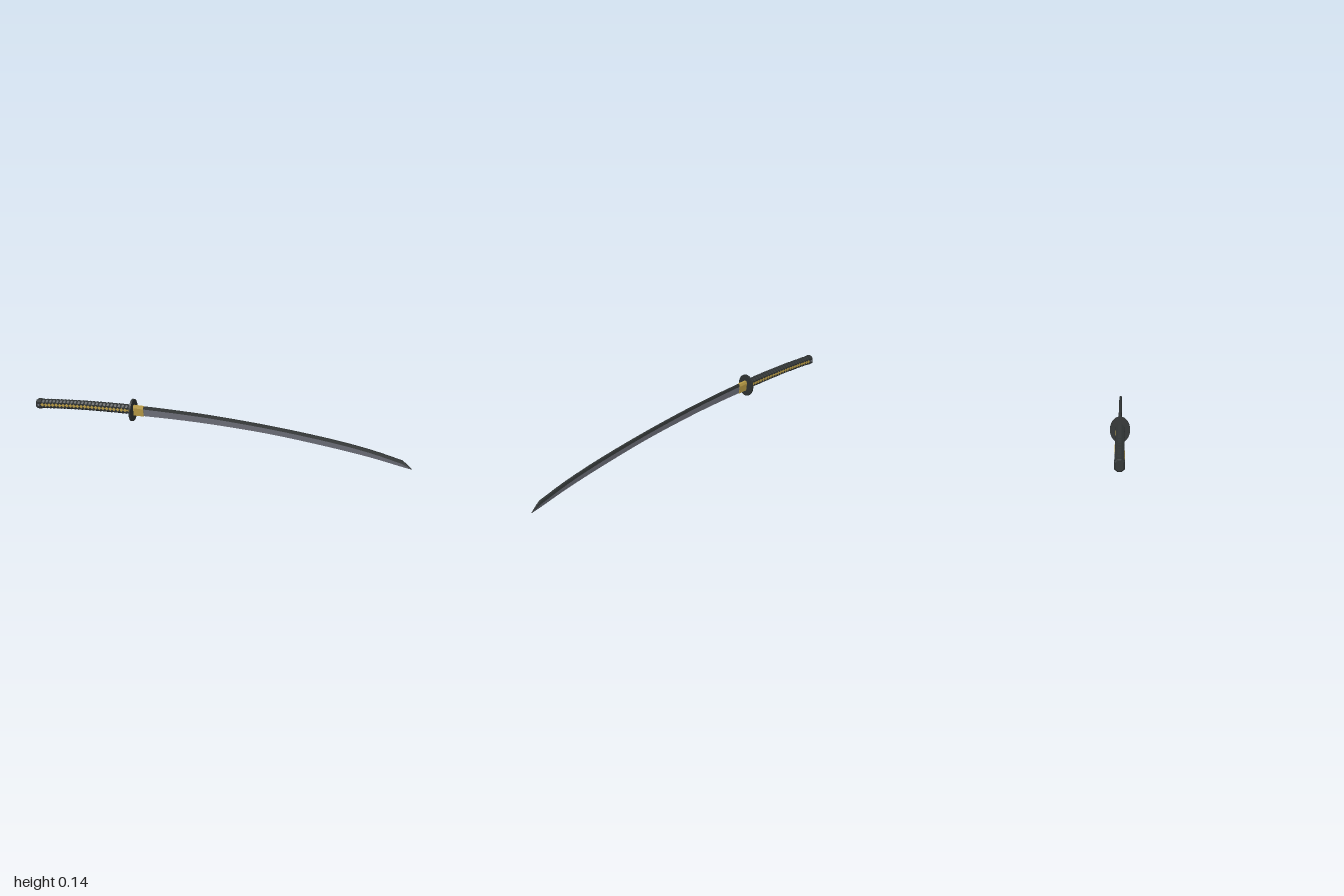
import * as THREE from 'three';

const material = (name, color) => {
  const m = new THREE.MeshStandardMaterial({ color });
  m.name = name;
  return m;
};

// Joins rings of [x, y, z] corners along x; sides[j] is the material index of strip j.
function loft(name, rings, sides, materials) {
  const n = rings[0].length;
  const pos = [];
  const geo = new THREE.BufferGeometry();
  const strip = (index, build) => {
    const start = pos.length / 3;
    build();
    geo.addGroup(start, pos.length / 3 - start, index);
  };
  for (let j = 0; j < n; j++) {
    const k = (j + 1) % n;
    strip(sides[j], () => {
      for (let i = 0; i < rings.length - 1; i++) {
        const a = rings[i], b = rings[i + 1];
        pos.push(...a[j], ...a[k], ...b[k], ...a[j], ...b[k], ...b[j]);
      }
    });
  }
  strip(0, () => {
    const a = rings[0], b = rings[rings.length - 1];
    for (let j = 1; j < n - 1; j++) {
      pos.push(...a[0], ...a[j + 1], ...a[j], ...b[0], ...b[j], ...b[j + 1]);
    }
  });
  geo.setAttribute('position', new THREE.Float32BufferAttribute(pos, 3));
  geo.computeVertexNormals();
  const mesh = new THREE.Mesh(geo, materials);
  mesh.name = name;
  return mesh;
}

// Smooth curve through [x, y] points, sampled by x
function curveY(points) {
  return x => {
    let i = 0;
    while (i < points.length - 2 && x > points[i + 1][0]) i++;
    const [p0, p1, p2, p3] = [i - 1, i, i + 1, i + 2].map(k => points[Math.min(Math.max(k, 0), points.length - 1)]);
    const h = p2[0] - p1[0], t = (x - p1[0]) / h;
    const m1 = (p2[1] - p0[1]) / (p2[0] - p0[0]) * h;
    const m2 = (p3[1] - p1[1]) / (p3[0] - p1[0]) * h;
    return p1[1] * (1 + 2 * t) * (1 - t) ** 2 + m1 * t * (1 - t) ** 2
      + p2[1] * t * t * (3 - 2 * t) + m2 * t * t * (t - 1);
  };
}

export function createModel() {
  const group = new THREE.Group();
  const black = material('black', 0x2f3333);
  const steel = material('steel', 0x70727c);
  const gold = material('gold', 0xb89b45);
  const mats = [black, steel, gold];

  // Curved blade: dark spine and edge, steel flats
  const spine = curveY([[-0.4, 0.106], [-0.2, 0.113], [0, 0.116], [0.3, 0.11], [0.6, 0.092], [0.8, 0.069], [0.95, 0.04]]);
  const edge = curveY([[-0.4, 0.053], [-0.2, 0.064], [0, 0.07], [0.3, 0.068], [0.6, 0.05], [0.8, 0.031], [0.95, 0.009]]);
  const bladeRing = (x, top, ridge, bottom, w) => [
    [x, top, 0.005 * w], [x, ridge, 0.0075 * w], [x, bottom, 0.003 * w],
    [x, bottom, -0.003 * w], [x, ridge, -0.0075 * w], [x, top, -0.005 * w],
  ];
  const rings = [];
  for (let i = 0; i <= 27; i++) {
    const x = -0.4 + 1.35 * i / 27;
    rings.push(bladeRing(x, spine(x), spine(x) - 0.013, edge(x), 1));
  }
  rings.push(bladeRing(0.97, 0.026, 0.018, 0.006, 0.8));
  rings.push(bladeRing(1, 0.003, 0.002, 0.001, 0.15));
  group.add(loft('blade', rings, [0, 1, 0, 1, 0, 0], mats));

  // Gold collar between blade and guard
  const collarRing = x => [
    [x, spine(x) + 0.001, 0.006], [x, spine(x) - 0.012, 0.01], [x, edge(x) - 0.001, 0.006],
    [x, edge(x) - 0.001, -0.006], [x, spine(x) - 0.012, -0.01], [x, spine(x) + 0.001, -0.006],
  ];
  group.add(loft('collar', [-0.432, -0.375].map(collarRing), Array(6).fill(0), [gold]));

  // Oval guard
  const guardGeo = new THREE.CylinderGeometry(1, 1, 0.01, 32);
  guardGeo.rotateZ(Math.PI / 2);
  guardGeo.scale(1, 0.06, 0.046);
  const guard = new THREE.Mesh(guardGeo, black);
  guard.name = 'guard';
  guard.position.set(-0.436, 0.078, 0);
  group.add(guard);

  // Wrapped grip: eight-sided, ridged along its length
  const axis = curveY([[-1, 0.027], [-0.86, 0.045], [-0.72, 0.06], [-0.58, 0.0715], [-0.44, 0.081]]);
  const gripRing = (x, h, w) => [
    [1, 0.4], [0.6, 1], [-0.6, 1], [-1, 0.4], [-1, -0.4], [-0.6, -1], [0.6, -1], [1, -0.4],
  ].map(([y, z]) => [x, axis(x) + y * h, z * w]);
  const turns = 25;
  const from = -0.97, to = -0.44;
  const grip = [];
  for (let i = 0; i <= turns * 2; i++) {
    const s = i % 2 ? 1 : 0.9;
    grip.push(gripRing(from + (to - from) * i / (turns * 2), 0.025 * s, 0.02 * s));
  }
  group.add(loft('grip', grip, Array(8).fill(0), [black]));

  // End cap of the grip
  group.add(loft('pommel', [
    gripRing(-1, 0.022, 0.015), gripRing(-0.993, 0.026, 0.021), gripRing(-0.968, 0.026, 0.021),
  ], Array(8).fill(0), [black]));

  // Gold diamonds showing between the wraps on both sides
  const pitch = (to - from) / turns;
  const diamond = new THREE.CylinderGeometry(1, 1, 0.003, 4);
  diamond.rotateX(Math.PI / 2);
  diamond.scale(pitch * 0.5, 0.0105, 1);
  const diamonds = new THREE.Group();
  diamonds.name = 'gripDiamonds';
  for (let i = 0; i < turns; i++) {
    const x = from + pitch * (i + 0.5);
    for (const side of [-1, 1]) {
      const plate = new THREE.Mesh(diamond, gold);
      plate.name = 'gripDiamond';
      plate.position.set(x, axis(x), side * 0.0195);
      diamonds.add(plate);
    }
  }
  group.add(diamonds);

  // Small steel studs on the end cap
  for (const side of [-1, 1]) {
    const stud = new THREE.Mesh(new THREE.CylinderGeometry(0.006, 0.006, 0.003, 8), steel);
    stud.name = 'pommelStud';
    stud.rotation.x = Math.PI / 2;
    stud.position.set(-0.981, axis(-0.981), side * 0.021);
    group.add(stud);
  }
  return group;
}
